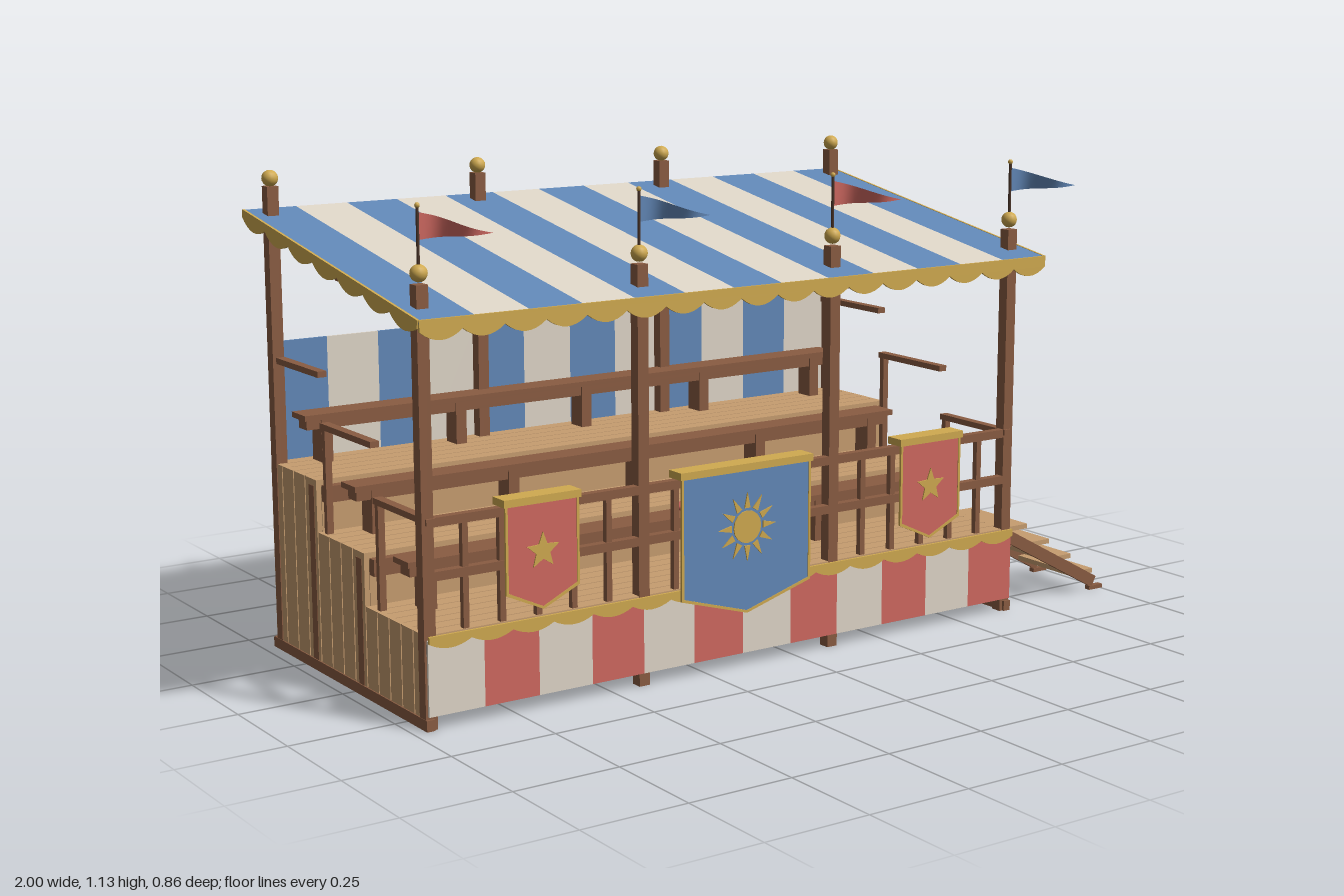
import * as THREE from 'three';

const mat = (name, color, side = THREE.FrontSide) => {
  const m = new THREE.MeshStandardMaterial({ color, side });
  m.name = name;
  return m;
};

export function createModel() {
  const model = new THREE.Group();
  model.name = 'grandstand';
  const timber = mat('brown timber', 0x8a5c42);
  const plank = mat('tan plank', 0xc79d70);
  const blue = mat('blue cloth', 0x6288b8, THREE.DoubleSide);
  const cream = mat('cream cloth', 0xdfd6c8, THREE.DoubleSide);
  const red = mat('red cloth', 0xcf6860, THREE.DoubleSide);
  const gold = mat('gold', 0xd0aa50);
  const iron = mat('dark pole', 0x4a3428);

  const add = (name, geo, m, x = 0, y = 0, z = 0, parent = model) => {
    const mesh = new THREE.Mesh(geo, m);
    mesh.name = name;
    mesh.position.set(x, y, z);
    parent.add(mesh);
    return mesh;
  };
  // Box given by its minimum and maximum corners
  const span = (name, m, x0, x1, y0, y1, z0, z1) =>
    add(name, new THREE.BoxGeometry(x1 - x0, y1 - y0, z1 - z0), m, (x0 + x1) / 2, (y0 + y1) / 2, (z0 + z1) / 2);
  const extrude = (shape, depth) => new THREE.ExtrudeGeometry(shape, { depth, bevelEnabled: false, curveSegments: 8 });

  const X0 = -0.965, X1 = 0.665, CX = -0.15, W = X1 - X0;
  const postX = [-0.955, -0.415, 0.115, 0.655];
  // Tiers: front z, back z, floor height
  const tiers = [[0.335, 0.06, 0.21], [0.06, -0.17, 0.33], [-0.17, -0.41, 0.45]];
  const GAP = 0.004;

  // Tiered floors, risers, side walls and benches
  tiers.forEach(([zf, zb, y], t) => {
    const n = Math.round((zf - zb) / 0.04), d = (zf - zb) / n;
    for (let i = 0; i < n; i++)
      span('floorBoard', plank, X0, X1, y - 0.015, y, zb + i * d + GAP / 2, zb + (i + 1) * d - GAP / 2);
    const k = Math.round((zf - zb) / 0.057), s = (zf - zb) / k;
    for (let i = 0; i < k; i++)
      for (const x of [X0 - 0.002, X1 - 0.01])
        span('sidePlank', plank, x, x + 0.012, 0.02, y, zb + i * s + GAP / 2, zb + (i + 1) * s - GAP / 2);
    if (t > 0) {
      span('riser', plank, X0 + 0.01, X1 - 0.01, y - 0.125, y - 0.015, zf - 0.012, zf);
      span('nosingBeam', timber, X0 + 0.01, X1 - 0.01, y - 0.05, y - 0.012, zf, zf + 0.022);
      for (const x of postX) span('underPost', timber, x - 0.013, x + 0.013, 0, y - 0.015, zf - 0.04, zf - 0.014);
      span('floorBeam', timber, X0 + 0.01, X1 - 0.01, y - 0.155, y - 0.125, zf - 0.04, zf - 0.012);
    }
    const bz = [0.14, -0.107, -0.355][t];
    span('benchSeat', timber, -0.92, 0.62, y + 0.104, y + 0.117, bz - 0.035, bz + 0.035);
    span('benchApron', timber, -0.91, 0.61, y + 0.08, y + 0.104, bz - 0.02, bz + 0.022);
    for (const x of [-0.86, -0.505, CX, 0.205, 0.56])
      span('benchSupport', timber, x - 0.014, x + 0.014, y, y + 0.105, bz - 0.025, bz + 0.025);
  });

  // Back wall and its striped curtain
  const nBack = 28, bw = W / nBack;
  for (let i = 0; i < nBack; i++)
    span('backPlank', plank, X0 + i * bw + GAP / 2, X0 + (i + 1) * bw - GAP / 2, 0.01, 0.45, -0.418, -0.406);
  for (let i = 0; i < 12; i++) {
    const w = 1.6 / 12, x = -0.95 + i * w;
    span('backCurtain', i % 2 ? cream : blue, x, x + w, 0.45, 0.732, -0.413, -0.407);
  }

  // Ground sills
  span('backSill', timber, X0 - 0.005, X1 + 0.005, 0, 0.022, -0.422, -0.4);
  for (const x of [X0 - 0.005, X1 - 0.015]) span('sideSill', timber, x, x + 0.02, 0, 0.025, -0.42, 0.34);
  span('frontBeam', timber, X0, X1, 0.165, 0.196, 0.31, 0.335);

  // Posts, ball finials and roof frame
  const roofY = z => 0.89 + (0.4 - z) * 0.1726;
  const slope = Math.atan(0.1726), roofLen = 0.84 / Math.cos(slope);
  const ball = new THREE.SphereGeometry(0.019, 14, 10);
  for (const x of postX) {
    span('frontPost', timber, x - 0.014, x + 0.014, 0, 0.955, 0.306, 0.334);
    span('backPost', timber, x - 0.014, x + 0.014, 0, 1.095, -0.404, -0.376);
    add('frontFinial', ball, gold, x, 0.978, 0.32);
    add('backFinial', ball, gold, x, 1.113, -0.39);
    const rafter = add('rafter', new THREE.BoxGeometry(0.022, 0.026, roofLen - 0.05), timber, x, roofY(-0.02) - 0.02, -0.02);
    rafter.rotation.x = slope;
  }
  for (const z of [0.32, -0.035, -0.39])
    span('roofBeam', timber, X0, X1, roofY(z) - 0.046, roofY(z) - 0.016, z - 0.013, z + 0.013);

  // Striped canopy
  for (let i = 0; i < 13; i++) {
    const w = 1.7 / 13;
    const s = add('canopyStripe', new THREE.BoxGeometry(w, 0.008, roofLen), i % 2 ? cream : blue,
      -1 + (i + 0.5) * w, roofY(-0.02), -0.02);
    s.rotation.x = slope;
  }

  // Scalloped gold fringe, hanging from y = 0 along +x
  const fringe = (len, n, band, lobe) => {
    const s = new THREE.Shape(), w = len / n;
    s.moveTo(0, 0);
    s.lineTo(0, -band);
    for (let i = 0; i < n; i++) s.quadraticCurveTo((i + 0.5) * w, -band - 2 * lobe, (i + 1) * w, -band);
    s.lineTo(len, 0);
    return extrude(s, 0.006);
  };
  add('canopyFringe', fringe(1.7, 17, 0.025, 0.02), gold, -1, 0.895, 0.397);
  for (const x of [-1.003, 0.697])
    add('sideFringe', fringe(roofLen, 7, 0.018, 0.02).rotateZ(slope).rotateY(Math.PI / 2), gold, x, 0.895, 0.4);
  add('skirtFringe', fringe(W, 16, 0.016, 0.014), gold, X0, 0.21, 0.343);

  // Striped front skirt
  for (let i = 0; i < 12; i++) {
    const w = W / 12;
    span('skirtStripe', i % 2 ? red : cream, X0 + i * w, X0 + (i + 1) * w, 0.032, 0.2, 0.336, 0.342);
  }

  // Front railing
  for (const y of [0.452, 0.335]) span('frontRail', timber, X0, X1, y - 0.01, y + 0.01, 0.314, 0.334);
  for (let b = 0; b < 3; b++)
    for (let i = 1; i < 6; i++) {
      const x = THREE.MathUtils.lerp(postX[b], postX[b + 1], i / 6);
      span('baluster', timber, x - 0.007, x + 0.007, 0.2, 0.445, 0.317, 0.331);
    }

  // Handrails at the ends of each tier
  for (const side of [-1, 1]) {
    const x = CX + side * 0.8;
    const rail = (y, z0, z1, floor) => {
      span('endRail', timber, x - 0.011, x + 0.011, y - 0.007, y + 0.007, z0, z1);
      span('endRailPost', timber, x - 0.008, x + 0.008, floor, y, z0 + 0.004, z0 + 0.018);
    };
    rail(0.455, 0.095, 0.34, 0.2);
    rail(0.577, -0.157, 0.09, 0.33);
    rail(0.693, -0.41, -0.16, 0.45);
  }

  // Hanging banners with gold trim and emblems
  const pennon = (w, top, edge, tip) => {
    const s = new THREE.Shape();
    s.moveTo(-w, top);
    s.lineTo(-w, edge);
    s.lineTo(0, tip);
    s.lineTo(w, edge);
    s.lineTo(w, top);
    s.closePath();
    return s;
  };
  const banner = (x, w, edge, tip, cloth) => {
    add('bannerCloth', extrude(pennon(w - 0.004, 0.475, edge + 0.004, tip + 0.005), 0.004), cloth, x, 0, 0.352);
    const trim = pennon(w, 0.475, edge, tip);
    trim.holes.push(pennon(w - 0.006, 0.47, edge + 0.005, tip + 0.006));
    add('bannerTrim', extrude(trim, 0.006), gold, x, 0, 0.352);
    span('bannerBar', gold, x - w - 0.004, x + w + 0.004, 0.466, 0.483, 0.312, 0.361);
  };
  const star = (n, R, r) => {
    const pts = [];
    for (let i = 0; i < 2 * n; i++) {
      const a = Math.PI / 2 + i * Math.PI / n, q = i % 2 ? r : R;
      pts.push(new THREE.Vector2(q * Math.cos(a), q * Math.sin(a)));
    }
    return new THREE.Shape(pts);
  };
  banner(CX, 0.18, 0.185, 0.132, blue);
  for (const x of [-0.69, 0.39]) {
    banner(x, 0.092, 0.272, 0.23, red);
    add('starEmblem', extrude(star(5, 0.042, 0.018), 0.004), gold, x, 0.36, 0.355);
  }
  add('sunDisc', extrude(new THREE.Shape().absarc(0, 0, 0.038, 0, Math.PI * 2), 0.004), gold, CX, 0.335, 0.355);
  for (let i = 0; i < 12; i++) {
    const ray = new THREE.Shape([[-0.008, 0.044], [0.008, 0.044], [0, 0.08]].map(p => new THREE.Vector2(...p)));
    add('sunRay', extrude(ray, 0.004), gold, CX, 0.335, 0.355).rotation.z = i * Math.PI / 6;
  }

  // Waving pennants on the front posts
  const flagGeo = new THREE.PlaneGeometry(1, 1, 12, 1);
  const p = flagGeo.attributes.position;
  for (let i = 0; i < p.count; i++) {
    const u = p.getX(i) + 0.5, v = p.getY(i);
    const wave = 0.016 * Math.sin(u * Math.PI * 2);
    p.setXYZ(i, u * 0.12 + wave * 0.6, 0.058 * v * (1 - u) - 0.012 * u, u * 0.1 - wave);
  }
  flagGeo.computeVertexNormals();
  postX.forEach((x, i) => {
    add('flagPole', new THREE.CylinderGeometry(0.0035, 0.0035, 0.13, 8), iron, x, 1.053, 0.32);
    add('flagTip', new THREE.SphereGeometry(0.006, 8, 6), gold, x, 1.118, 0.32);
    add('flag', flagGeo, i % 2 ? blue : red, x, 1.075, 0.32);
  });

  // Cushion on the front bench
  add('cushion', new THREE.SphereGeometry(1, 16, 10), red, CX, 0.343, 0.14).scale.set(0.05, 0.013, 0.032);

  // Side stairs
  const stairAngle = Math.atan2(-0.165, 0.3);
  for (const z of [0.107, 0.317]) {
    add('stringer', new THREE.BoxGeometry(0.345, 0.03, 0.012), timber, 0.82, 0.105, z).rotation.z = stairAngle;
    span('stairFoot', timber, 0.955, 1, 0.002, 0.012, z - 0.008, z + 0.008);
  }
  for (let i = 0; i < 4; i++) {
    const x = 0.708 + i * 0.076, y = 0.2 - i * 0.05;
    span('stairTread', plank, x - 0.035, x + 0.035, y - 0.006, y + 0.006, 0.108, 0.316);
  }
  return model;
}
